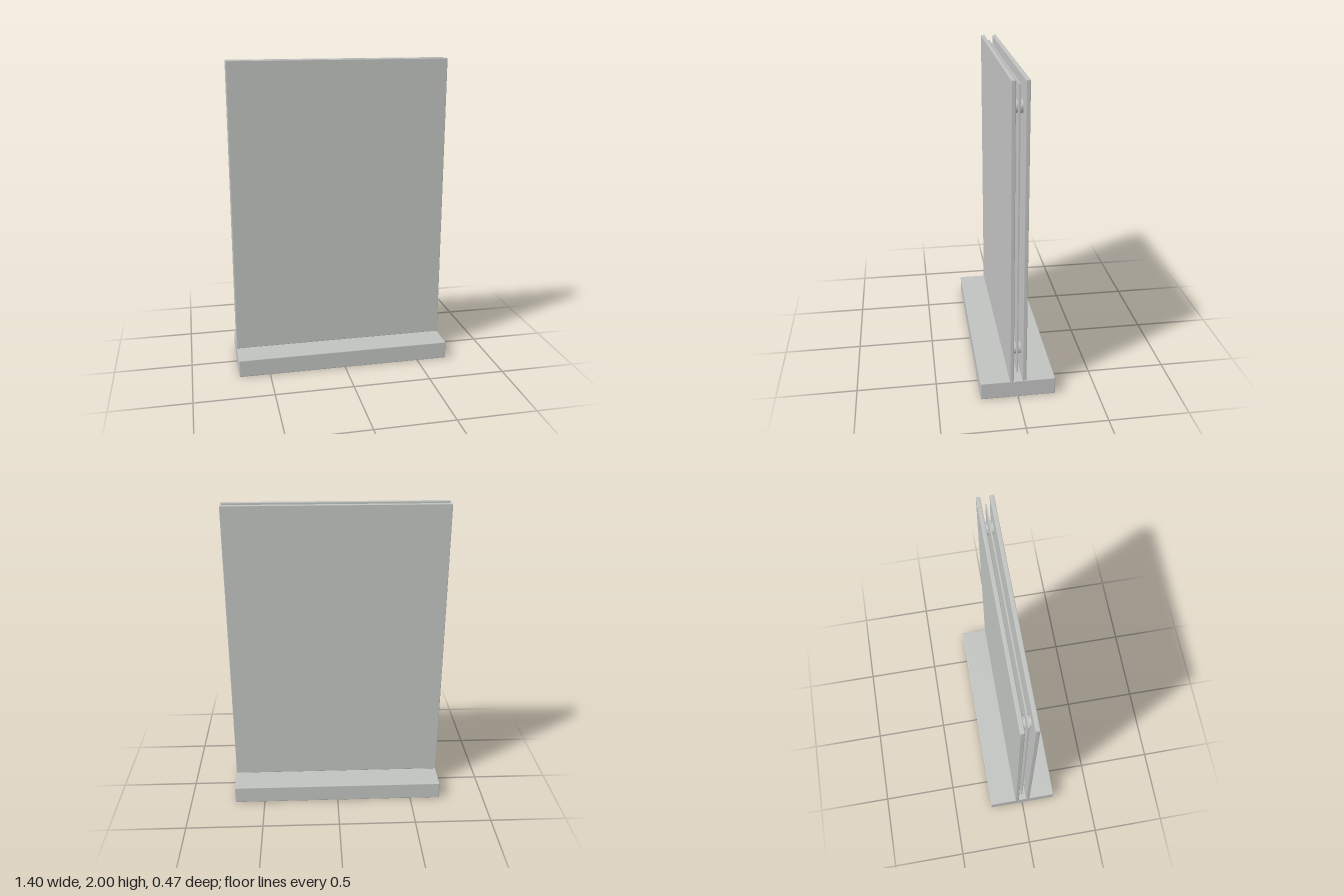
import * as THREE from 'three';
import { RoundedBoxGeometry } from 'three/addons/geometries/RoundedBoxGeometry.js';

export function createModel() {
  const group = new THREE.Group();
  const grey = new THREE.MeshStandardMaterial({ color: 0xc0c2c0 });
  grey.name = 'light grey';

  function add(name, geometry, x, y, z) {
    const mesh = new THREE.Mesh(geometry, grey);
    mesh.name = name;
    mesh.position.set(x, y, z);
    group.add(mesh);
    return mesh;
  }

  const baseHeight = 0.116;
  const panelHeight = 2 - baseHeight;
  const panelThickness = 0.025;
  const gap = 0.054; // clear space between the two panels

  // Foot block
  add('base', new RoundedBoxGeometry(1.4, baseHeight, 0.47, 3, 0.006), 0, baseHeight / 2, 0);

  // Two upright panels standing on the base
  for (const [name, side] of [['frontPanel', 1], ['backPanel', -1]]) {
    add(name, new RoundedBoxGeometry(1.4, panelHeight, panelThickness, 2, 0.004),
      0, baseHeight + panelHeight / 2, side * (gap + panelThickness) / 2);
  }

  // Thin insert sheet held in the gap
  add('insertSheet', new THREE.BoxGeometry(1.33, 1.815, 0.008), 0, 1.063, 0);

  // Round spacers in the four corners
  for (const x of [-0.59, 0.59]) {
    for (const y of [0.292, 1.832]) {
      const spacer = add('spacer', new THREE.CylinderGeometry(0.038, 0.038, gap, 32), x, y, 0);
      spacer.rotation.x = Math.PI / 2;
    }
  }

  return group;
}
